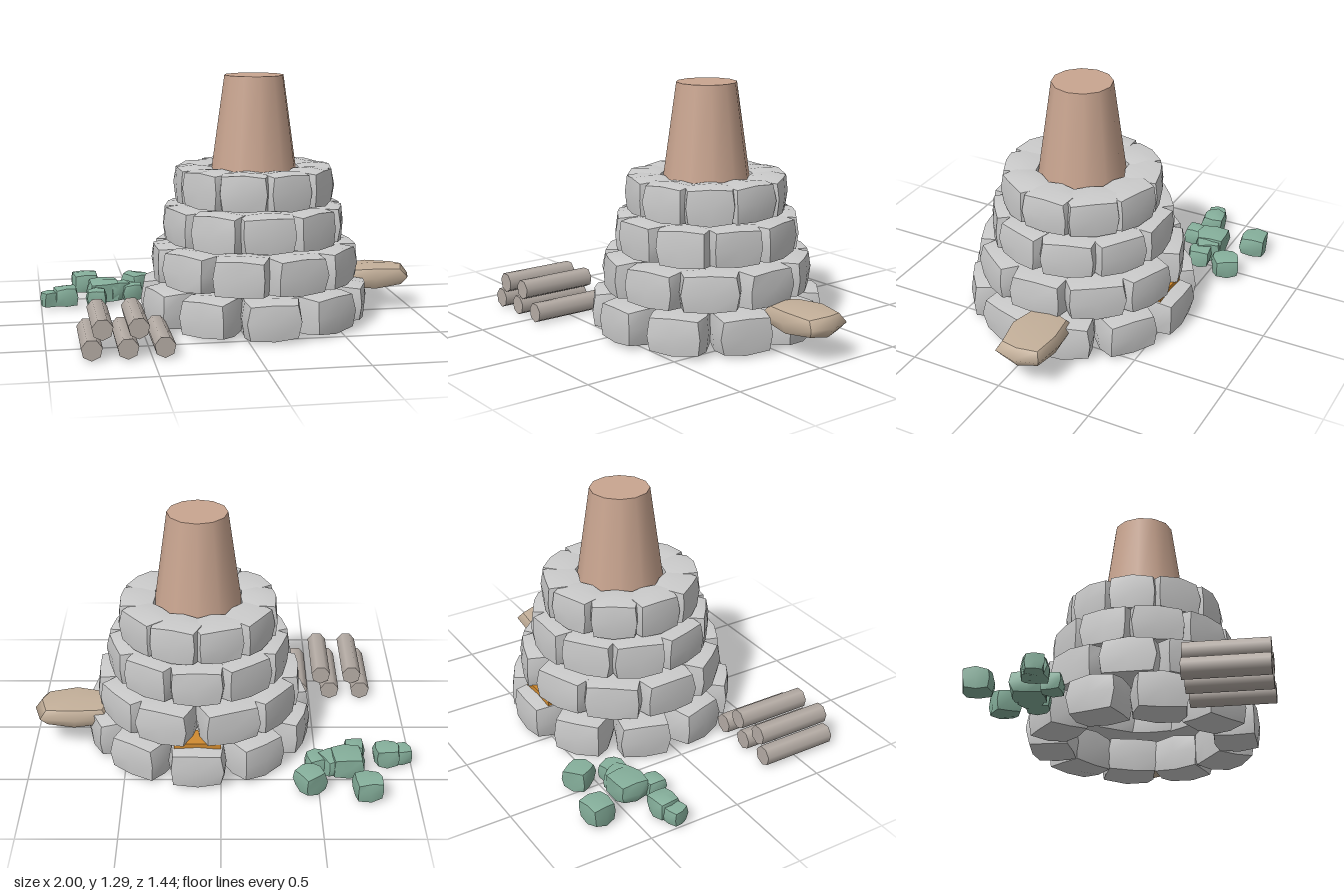
import * as THREE from 'three';

const mat = (color) => new THREE.MeshStandardMaterial({ color });
const STONE = mat(0xcccccc), CLAY = mat(0xc9a590), WOOD = mat(0xb5aca5);
const SLAB = mat(0xc4b09a), MOSS = mat(0x86b09c), GLOW = mat(0xd08a30);

// Repeatable value in -1..1 from a seed and a grid position
const noise = (seed, x, y, z) => {
  const s = Math.sin(seed * 12.99 + x * 78.23 + y * 37.72 + z * 54.57) * 43758.55;
  return (s - Math.floor(s)) * 2 - 1;
};

// Boulder: a box whose faces bulge and whose edges pull in, slightly uneven
function boulder(name, material, w, h, d, bulge, rough, seed) {
  const geo = new THREE.BoxGeometry(2, 2, 2, 2, 2, 2);
  const p = geo.attributes.position;
  for (let i = 0; i < p.count; i++) {
    const x = p.getX(i), y = p.getY(i), z = p.getZ(i);
    const pull = (a, b) => 1 - bulge * (a * a + b * b) / 2;
    const n = (k) => rough * noise(seed + k, x, y, z);
    p.setXYZ(i,
      (x * pull(y, z) + n(1)) * w / 2,
      (y * pull(x, z) + n(2)) * h / 2,
      (z * pull(x, y) + n(3)) * d / 2);
  }
  geo.computeVertexNormals();
  const mesh = new THREE.Mesh(geo, material);
  mesh.name = name;
  return mesh;
}

export function createModel() {
  const model = new THREE.Group();

  // Tower: four stepped rings of ten stones, every other ring turned half a stone
  const tower = new THREE.Group();
  tower.name = 'tower';
  tower.position.x = 0.12;
  model.add(tower);
  const rings = [
    { y: 0.118, outer: 0.60, w: 0.29, d: 0.24 },
    { y: 0.322, outer: 0.54, w: 0.31, d: 0.23 },
    { y: 0.528, outer: 0.475, w: 0.29, d: 0.22 },
    { y: 0.730, outer: 0.415, w: 0.26, d: 0.20 },
  ];
  rings.forEach((r, level) => {
    const ring = new THREE.Group();
    ring.name = 'stoneRing' + (level + 1);
    for (let i = 0; i < 10; i++) {
      const seed = level * 20 + i + 1;
      let a = (i + (level % 2) / 2) * Math.PI / 5;
      // leave a slit at the back of the second ring
      if (level === 1 && i === 4) a -= 0.05;
      if (level === 1 && i === 5) a += 0.05;
      const w = r.w * (1 + 0.05 * noise(seed, 1, 2, 3));
      const stone = boulder('stone', STONE, w, 0.205, r.d, 0.17, 0.035, seed);
      const rad = r.outer - r.d / 2;
      stone.position.set(Math.sin(a) * rad, r.y, Math.cos(a) * rad);
      stone.rotation.y = a + 0.04 * noise(seed, 3, 1, 2);
      ring.add(stone);
    }
    tower.add(ring);
  });

  // Chimney
  const chimney = new THREE.Mesh(new THREE.CylinderGeometry(0.157, 0.236, 0.56, 12), CLAY);
  chimney.name = 'chimney';
  chimney.position.y = 1.02;
  tower.add(chimney);

  // Glowing block behind the back stones
  const ember = new THREE.Mesh(new THREE.BoxGeometry(0.24, 0.19, 0.13), GLOW);
  ember.name = 'ember';
  ember.position.set(0, 0.145, -0.45);
  tower.add(ember);

  // Slab sticking out of the side
  const slab = boulder('ledge', SLAB, 0.42, 0.125, 0.28, 0.3, 0.03, 91);
  slab.position.set(0.785, 0.19, -0.085);
  model.add(slab);

  // Log pile
  const logs = new THREE.Group();
  logs.name = 'logPile';
  const logGeo = new THREE.CylinderGeometry(0.053, 0.053, 0.41, 7).rotateX(Math.PI / 2);
  [[-0.79, 0.063], [-0.617, 0.063], [-0.44, 0.063], [-0.738, 0.161], [-0.565, 0.161]]
    .forEach(([x, y]) => {
      const log = new THREE.Mesh(logGeo, WOOD);
      log.name = 'log';
      log.position.set(x, y, 0.513);
      logs.add(log);
    });
  model.add(logs);

  // Mossy rubble: x, z, size, height, turn
  const rubble = new THREE.Group();
  rubble.name = 'rubble';
  [
    [-0.745, -0.65, 0.15, 0.12, 0.15], [-0.455, -0.59, 0.145, 0.12, 0.6],
    [-0.87, -0.35, 0.135, 0.11, 0.1], [-0.95, -0.335, 0.10, 0.09, 0.3],
    [-0.655, -0.425, 0.18, 0.12, 0.1], [-0.585, -0.43, 0.14, 0.11, 0.5],
    [-0.50, -0.42, 0.125, 0.10, 0.2], [-0.70, -0.305, 0.11, 0.10, 0],
  ].forEach(([x, z, s, h, turn], i) => {
    const rock = boulder('mossyRock', MOSS, s, h, s, 0.22, 0.09, 120 + i * 5);
    rock.position.set(x, 0.015 + h / 2, z);
    rock.rotation.y = turn;
    rubble.add(rock);
  });
  model.add(rubble);

  return model;
}
